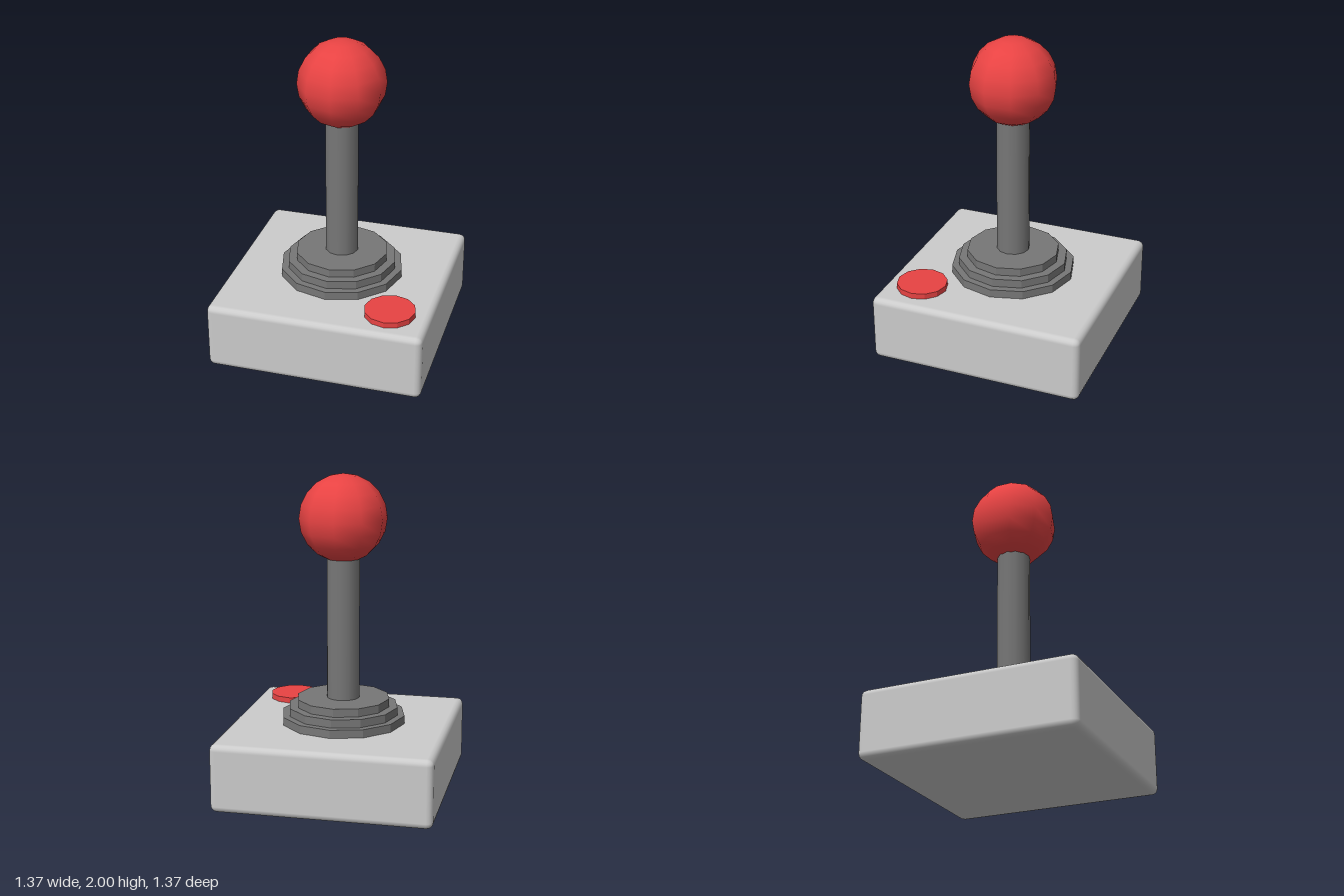
import * as THREE from 'three';
import { RoundedBoxGeometry } from 'three/addons/geometries/RoundedBoxGeometry.js';

const grey = new THREE.MeshStandardMaterial({ color: 0xcccccc });
const dark = new THREE.MeshStandardMaterial({ color: 0x777777 });
const darkFlat = new THREE.MeshStandardMaterial({ color: 0x777777, flatShading: true });
const red = new THREE.MeshStandardMaterial({ color: 0xe84343 });
const redFlat = new THREE.MeshStandardMaterial({ color: 0xe84343, flatShading: true });

export function createModel() {
  const group = new THREE.Group();

  const add = (name, geometry, material, x, y, z) => {
    const mesh = new THREE.Mesh(geometry, material);
    mesh.name = name;
    mesh.position.set(x, y, z);
    group.add(mesh);
  };

  // Upright twelve-sided cylinder between two heights
  const disc = (name, radius, y0, y1, material, x = 0, z = 0) =>
    add(name, new THREE.CylinderGeometry(radius, radius, y1 - y0, 12), material, x, (y0 + y1) / 2, z);

  // Square housing with softened edges
  add('base', new RoundedBoxGeometry(1.365, 0.43, 1.365, 2, 0.04), grey, 0, 0.215, 0);

  // Stepped collar around the stick
  [0.395, 0.35, 0.295].forEach((radius, i) => {
    const bottom = 0.43 + i * 0.052;
    disc('collarRing' + (i + 1), radius, bottom, bottom + 0.052, darkFlat);
  });

  // Stick and ball grip
  disc('stick', 0.105, 0.58, 1.5, dark);
  const ball = new THREE.SphereGeometry(0.275, 10, 10).rotateY(Math.PI / 2);
  add('ballGrip', ball, red, 0, 1.725, 0);

  // Fire button in the front left corner
  disc('fireButton', 0.16, 0.42, 0.466, redFlat, 0.43, 0.445);

  return group;
}
